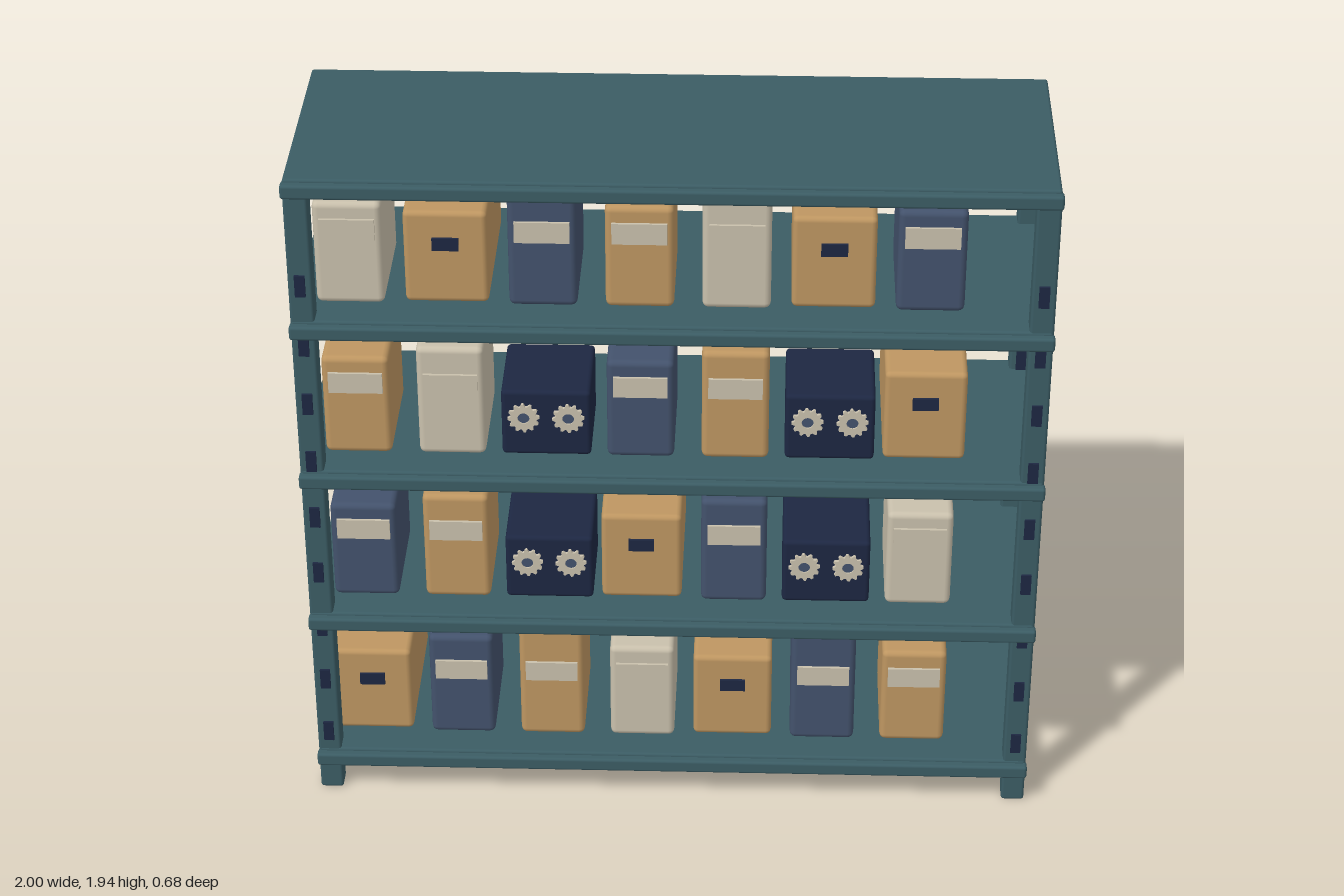
import * as THREE from 'three';
import { RoundedBoxGeometry } from 'three/addons/geometries/RoundedBoxGeometry.js';

const mat = (name, color) => {
  const m = new THREE.MeshStandardMaterial({ color });
  m.name = name;
  return m;
};

export function createModel() {
  const steel = mat('teal steel', 0x3b5c64);
  const tan = mat('tan card', 0xbe9661);
  const cream = mat('cream', 0xc9c0ac);
  const blue = mat('slate blue', 0x43526c);
  const navy = mat('dark navy', 0x1d2742);

  const root = new THREE.Group();
  root.name = 'storageRack';

  const add = (parent, name, geometry, material, x, y, z) => {
    const mesh = new THREE.Mesh(geometry, material);
    mesh.name = name;
    mesh.position.set(x, y, z);
    parent.add(mesh);
    return mesh;
  };
  const rounded = (w, h, d, r) => new RoundedBoxGeometry(w, h, d, 2, r);

  // Corner posts with a column of slots on the front face
  const postGeo = rounded(0.064, 1.91, 0.062, 0.008);
  const slotGeo = new THREE.BoxGeometry(0.028, 0.062, 0.009);
  for (const x of [-0.965, 0.965]) {
    for (const z of [0.287, -0.309]) {
      const post = new THREE.Group();
      post.name = z > 0 ? 'frontPost' : 'backPost';
      root.add(post);
      add(post, 'post', postGeo, steel, x, 0.955, z);
      for (let i = 0; i < 9; i++) {
        add(post, 'slot', slotGeo, navy, x, 0.2 + i * 0.179, z + 0.033);
      }
    }
  }

  // Shelves, each with a front lip
  const shelfGeo = rounded(1.99, 0.057, 0.652, 0.008);
  const lipGeo = rounded(2, 0.04, 0.034, 0.008);
  for (const y of [0.11, 0.574, 1.036, 1.498, 1.914]) {
    add(root, 'shelf', shelfGeo, steel, 0, y, -0.006);
    add(root, 'shelfLip', lipGeo, steel, 0, y, 0.324);
  }

  // Upright binder box with a wide label
  const binderLabel = new THREE.BoxGeometry(0.145, 0.06, 0.009);
  function binder(h, material) {
    const g = new THREE.Group();
    g.name = 'binderBox';
    add(g, 'binderBody', rounded(0.18, h, 0.323, 0.017), material, 0, h / 2, 0.082);
    add(g, 'binderLabel', binderLabel, cream, 0, 0.222, 0.247);
    return g;
  }

  // Deep carton with a small tag
  const cartonGeo = rounded(0.22, 0.268, 0.446, 0.015);
  const tagGeo = new THREE.BoxGeometry(0.07, 0.036, 0.009);
  function carton() {
    const g = new THREE.Group();
    g.name = 'carton';
    add(g, 'cartonBody', cartonGeo, tan, 0, 0.134, 0.008);
    add(g, 'cartonTag', tagGeo, navy, 0, 0.176, 0.234);
    return g;
  }

  // Toothed reel outline with a round hub hole
  const reelShape = new THREE.Shape();
  const teeth = 12;
  for (let i = 0; i < teeth * 4; i++) {
    const a = (i / (teeth * 4)) * Math.PI * 2;
    const r = i % 4 < 2 ? 0.043 : 0.035;
    if (i === 0) reelShape.moveTo(r, 0);
    else reelShape.lineTo(Math.cos(a) * r, Math.sin(a) * r);
  }
  reelShape.closePath();
  reelShape.holes.push(new THREE.Path().absarc(0, 0, 0.016, 0, Math.PI * 2, true));
  const reelGeo = new THREE.ExtrudeGeometry(reelShape, { depth: 0.009, bevelEnabled: false });
  const hubGeo = new THREE.CylinderGeometry(0.016, 0.016, 0.005, 20).rotateX(Math.PI / 2);
  const deckGeo = rounded(0.24, 0.198, 0.26, 0.012);

  // Low dark case with two reels
  function deck() {
    const g = new THREE.Group();
    g.name = 'reelCase';
    add(g, 'caseBody', deckGeo, navy, 0, 0.1, 0.11);
    for (const x of [-0.06, 0.06]) {
      add(g, 'reel', reelGeo, cream, x, 0.12, 0.24);
      add(g, 'reelHub', hubGeo, blue, x, 0.12, 0.2425);
    }
    return g;
  }

  // Contents of each shelf, left to right
  const S = 0.297, M = 0.33, L = 0.363;
  const T = (h) => binder(h, tan);
  const C = (h) => binder(h, cream);
  const B = (h) => binder(h, blue);
  const rows = [
    [0.145, [carton(), B(M), T(L), C(0.303), carton(), B(L), T(0.303)]],
    [0.611, [B(S), T(M), deck(), carton(), B(M), deck(), C(S)]],
    [1.076, [T(S), C(M), deck(), B(S), T(M), deck(), carton()]],
    [1.539, [C(S), carton(), B(0.348), T(S), C(M), carton(), B(S)]],
  ];
  for (const [y, items] of rows) {
    items.forEach((item, i) => {
      item.position.set(-0.845 + i * 0.2535, y, 0);
      root.add(item);
    });
  }

  return root;
}
